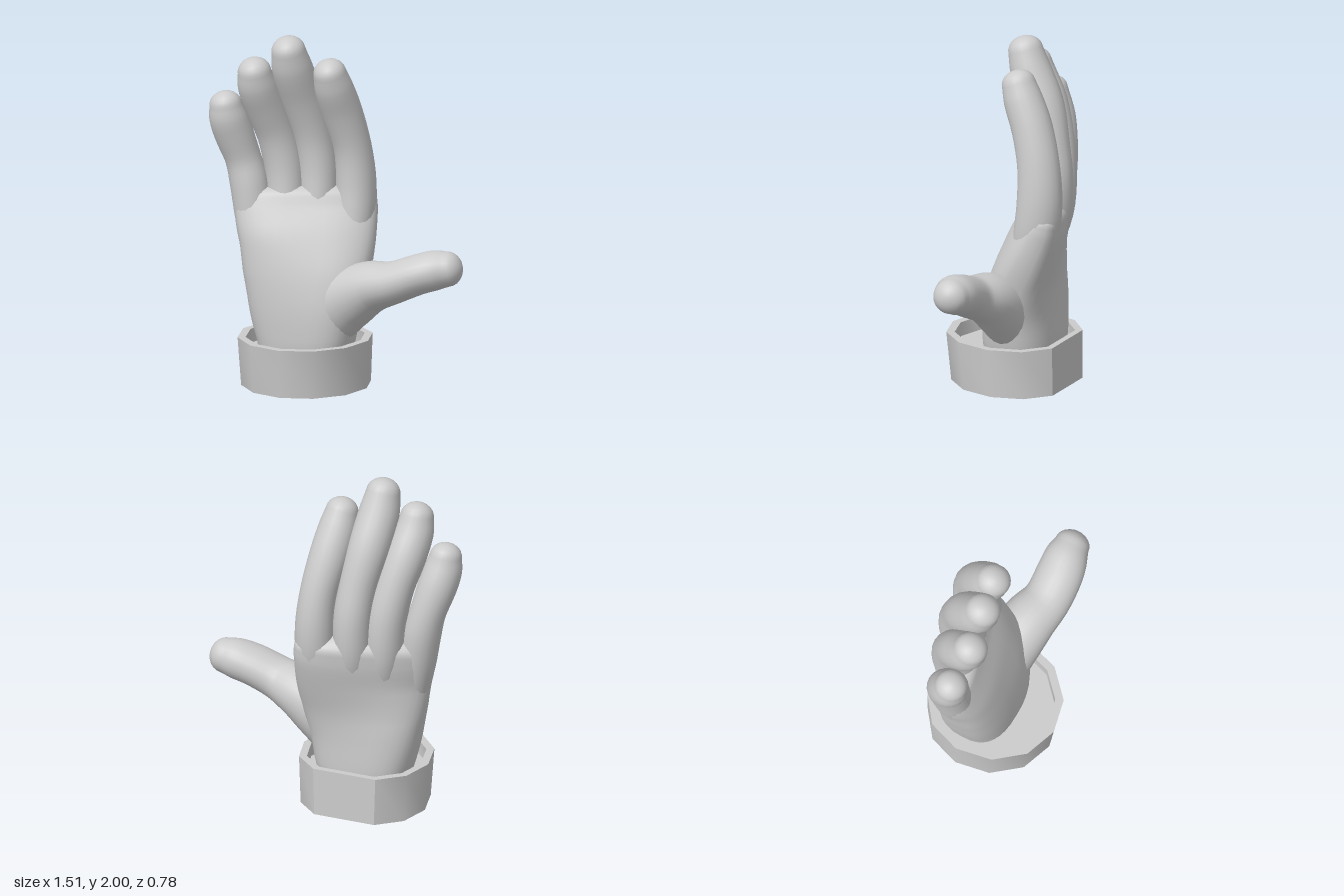
import * as THREE from 'three';
import { toCreasedNormals } from 'three/addons/utils/BufferGeometryUtils.js';

const V = (x, y, z) => new THREE.Vector3(x, y, z);
const material = new THREE.MeshStandardMaterial({ color: 0xcccccc });
const cuffMaterial = new THREE.MeshStandardMaterial({ color: 0xcccccc, side: THREE.DoubleSide });

// Smooth loft with a domed end.
// Each section is [x, y, z, half width, half depth, turn of the width axis about y].
function loft(sections, { sides = 20, steps = 4, dome = 0.85, square = 1 } = {}) {
  const path = new THREE.CatmullRomCurve3(sections.map(s => V(s[0], s[1], s[2])));
  const size = new THREE.CatmullRomCurve3(sections.map(s => V(s[3], s[4], s[5])), false, 'catmullrom');
  const positions = [], index = [];
  const soft = v => Math.sign(v) * Math.pow(Math.abs(v), square);
  let rings = 0;

  function ring(centre, tangent, w, d, turn) {
    const u = V(Math.cos(turn), 0, -Math.sin(turn));
    u.addScaledVector(tangent, -u.dot(tangent)).normalize();
    const v = tangent.clone().cross(u);
    for (let j = 0; j < sides; j++) {
      const a = (j / sides) * Math.PI * 2;
      const p = centre.clone()
        .addScaledVector(u, w * soft(Math.cos(a)))
        .addScaledVector(v, d * soft(Math.sin(a)));
      positions.push(p.x, p.y, p.z);
    }
    rings++;
  }

  const count = (sections.length - 1) * steps;
  for (let i = 0; i <= count; i++) {
    const s = size.getPoint(i / count);
    ring(path.getPoint(i / count), path.getTangent(i / count), s.x, s.y, s.z);
  }
  // rounded end
  const end = path.getPoint(1), dir = path.getTangent(1), s = size.getPoint(1);
  const length = dome * Math.min(s.x, s.y);
  for (let k = 1; k < 6; k++) {
    const a = (k / 6) * Math.PI / 2, c = Math.cos(a);
    ring(end.clone().addScaledVector(dir, length * Math.sin(a)), dir, s.x * c, s.y * c, s.z);
  }
  const tip = end.clone().addScaledVector(dir, length);
  positions.push(tip.x, tip.y, tip.z);

  for (let i = 0; i < rings; i++) {
    for (let j = 0; j < sides; j++) {
      const a = i * sides + j, b = i * sides + (j + 1) % sides;
      if (i === rings - 1) index.push(a, b, rings * sides);
      else index.push(a, b, b + sides, a, b + sides, a + sides);
    }
  }
  const geometry = new THREE.BufferGeometry();
  geometry.setAttribute('position', new THREE.Float32BufferAttribute(positions, 3));
  geometry.setIndex(index);
  geometry.computeVertexNormals();
  return geometry;
}

// Twelve-sided hollow cuff: pointed at the front, flattened at the back, leaning slightly forward
function cuffGeometry() {
  const profile = [[0, 0], [0.365, 0], [0.38, 0.28], [0.335, 0.28], [0.335, 0.2], [0, 0.2]];
  const geometry = new THREE.LatheGeometry(profile.map(p => new THREE.Vector2(...p)), 12);
  const p = geometry.attributes.position;
  for (let i = 0; i < p.count; i++) {
    const z = p.getZ(i), r = Math.hypot(p.getX(i), z);
    p.setZ(i, (z > 0 ? z * 1.08 : Math.max(z, -0.82 * r)) + 0.05 * p.getY(i));
  }
  return toCreasedNormals(geometry, 0.7);
}

export function createModel() {
  const model = new THREE.Group();
  model.name = 'openHand';
  const add = (name, geometry, mat = material) => {
    const mesh = new THREE.Mesh(geometry, mat);
    mesh.name = name;
    model.add(mesh);
    return mesh;
  };

  add('cuff', cuffGeometry(), cuffMaterial).position.set(-0.187, 0, -0.034);

  // Palm and wrist: the little-finger side sits further forward
  add('palm', loft([
    [-0.2, 0.2, -0.06, 0.265, 0.205, 0.05],
    [-0.2, 0.28, -0.06, 0.285, 0.21, 0.05],
    [-0.205, 0.45, -0.06, 0.322, 0.205, 0.1],
    [-0.205, 0.62, -0.075, 0.358, 0.19, 0.2],
    [-0.215, 0.8, -0.115, 0.385, 0.168, 0.32],
    [-0.24, 0.95, -0.16, 0.402, 0.142, 0.36],
    [-0.25, 1.03, -0.18, 0.398, 0.126, 0.36],
  ], { sides: 36, dome: 0.65, square: 0.76 }));

  // Fingers, gently curled forward and narrowed at the joints
  const fingers = {
    indexFinger: [
      [0.02, 0.65, -0.15, 0.07, 0.08, 0.35],
      [0.022, 0.92, -0.235, 0.112, 0.125, 0.35],
      [0.02, 1.12, -0.262, 0.115, 0.13, 0.35],
      [0.003, 1.34, -0.248, 0.108, 0.122, 0.35],
      [-0.035, 1.55, -0.187, 0.114, 0.118, 0.35],
      [-0.058, 1.7, -0.12, 0.109, 0.112, 0.35],
      [-0.068, 1.79, -0.085, 0.093, 0.097, 0.35],
    ],
    middleFinger: [
      [-0.18, 0.7, -0.14, 0.07, 0.08, 0.35],
      [-0.185, 0.96, -0.2, 0.108, 0.13, 0.35],
      [-0.193, 1.2, -0.222, 0.112, 0.13, 0.35],
      [-0.217, 1.4, -0.2, 0.109, 0.12, 0.35],
      [-0.257, 1.62, -0.138, 0.119, 0.124, 0.35],
      [-0.282, 1.81, -0.05, 0.115, 0.116, 0.35],
      [-0.29, 1.915, -0.015, 0.097, 0.1, 0.35],
    ],
    ringFinger: [
      [-0.34, 0.7, -0.1, 0.07, 0.08, 0.35],
      [-0.355, 0.96, -0.145, 0.108, 0.125, 0.35],
      [-0.375, 1.2, -0.16, 0.112, 0.123, 0.35],
      [-0.413, 1.4, -0.13, 0.109, 0.115, 0.35],
      [-0.452, 1.57, -0.067, 0.115, 0.118, 0.35],
      [-0.474, 1.7, -0.002, 0.111, 0.111, 0.35],
      [-0.48, 1.785, 0.025, 0.095, 0.097, 0.35],
    ],
    littleFinger: [
      [-0.49, 0.65, -0.03, 0.06, 0.07, 0.35],
      [-0.52, 0.9, -0.06, 0.1, 0.105, 0.35],
      [-0.55, 1.1, -0.075, 0.11, 0.115, 0.35],
      [-0.588, 1.25, -0.073, 0.103, 0.108, 0.35],
      [-0.63, 1.4, -0.037, 0.111, 0.112, 0.35],
      [-0.652, 1.5, -0.004, 0.108, 0.107, 0.35],
      [-0.662, 1.575, 0.01, 0.092, 0.092, 0.35],
    ],
  };
  for (const [name, sections] of Object.entries(fingers)) add(name, loft(sections));

  // Thumb, growing out of the wrist through the heel of the palm
  const across = -Math.PI / 2;
  add('thumb', loft([
    [-0.22, 0.32, -0.06, 0.1, 0.12, across],
    [-0.07, 0.415, -0.05, 0.145, 0.19, across],
    [0.06, 0.505, -0.045, 0.16, 0.178, across],
    [0.2, 0.588, -0.03, 0.158, 0.15, across],
    [0.35, 0.635, 0.0, 0.138, 0.122, across],
    [0.5, 0.695, -0.01, 0.135, 0.115, across],
    [0.6, 0.725, -0.028, 0.124, 0.113, across],
    [0.67, 0.737, -0.037, 0.102, 0.1, across],
  ], { sides: 24 }));

  return model;
}
